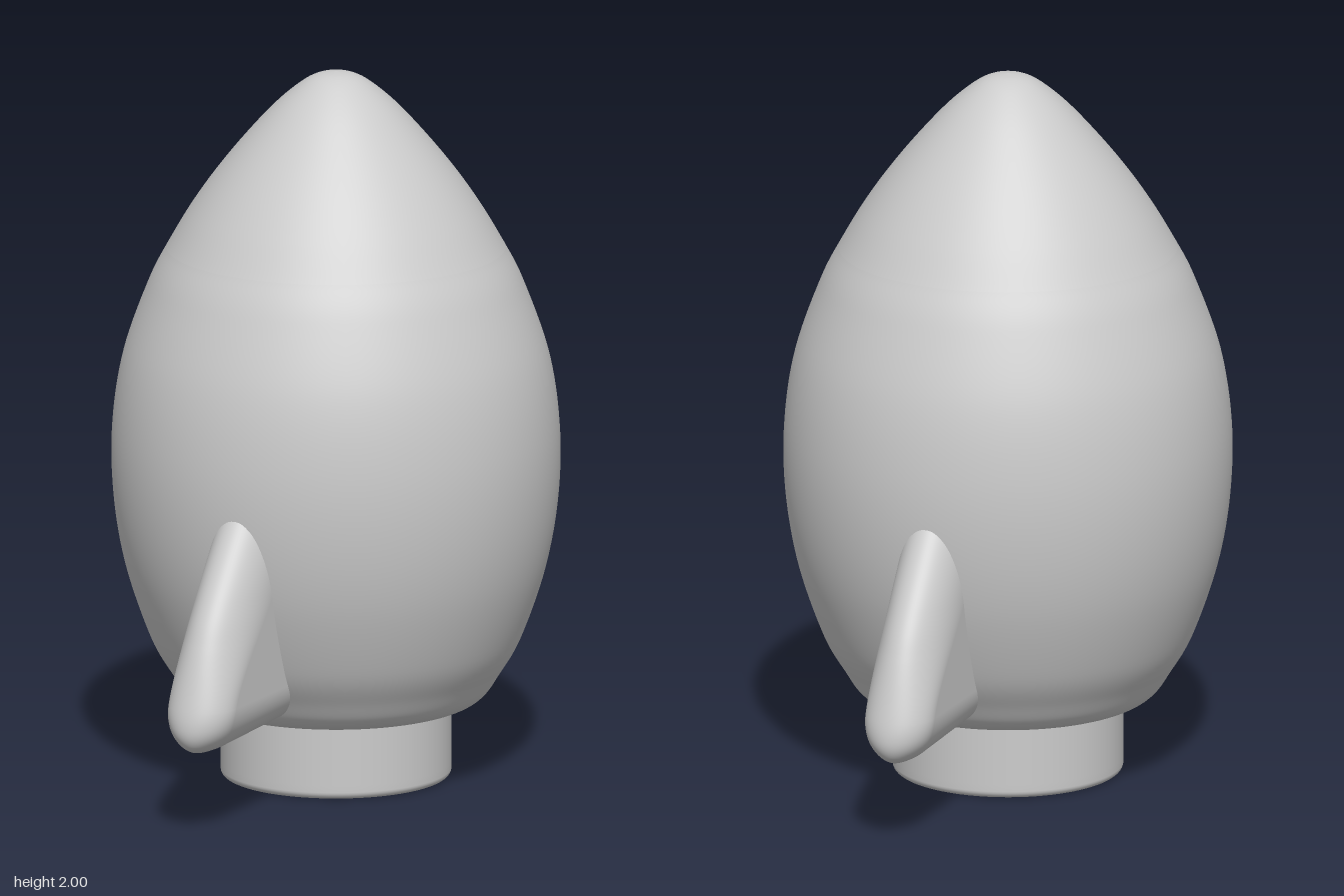
import * as THREE from 'three';
import { ParametricGeometry } from 'three/addons/geometries/ParametricGeometry.js';

const material = new THREE.MeshStandardMaterial({ color: 0xcccccc });
const spline = (points) => new THREE.SplineCurve(points.map(([x, y]) => new THREE.Vector2(x, y)));

function addMesh(parent, name, geometry) {
  const mesh = new THREE.Mesh(geometry, material);
  mesh.name = name;
  parent.add(mesh);
  return mesh;
}

// Smooth lathe through a few [radius, height] points, listed bottom to top
function turned(points, steps) {
  const profile = spline(points).getPoints(steps);
  profile.forEach((p) => { p.x = Math.max(p.x, 0); });
  return new THREE.LatheGeometry(profile, 96);
}

// Cushioned fin pointing along +z: level sections with an elliptical outer end,
// stacked up the [z, y] outline of its outer edge
function finGeometry() {
  const outline = spline([
    [0.8, 0.23], [0.86, 0.238], [0.895, 0.263], [0.907, 0.31], [0.89, 0.385],
    [0.835, 0.53], [0.77, 0.645], [0.625, 0.84], [0.53, 0.95],
  ]);
  const innerZ = 0.25;
  const sideShare = 0.15;
  return new ParametricGeometry((u, v, target) => {
    const edge = outline.getPoint(v);
    const rise = THREE.MathUtils.clamp((edge.y - 0.23) / 0.13, 0, 1);
    const halfWidth = 0.002 + 0.098 * Math.sqrt(1 - (1 - rise) ** 2);
    const endLength = 0.1 + 0.1 * THREE.MathUtils.smoothstep(edge.y, 0.35, 0.65);
    // The straight sides run into the hull; the ellipse joins them round the edge
    const side = Math.min(u, 1 - u) / sideShare;
    const angle = THREE.MathUtils.clamp((u - 0.5) / (0.5 - sideShare), -1, 1) * Math.PI / 2;
    const shoulder = edge.x - endLength;
    const z = side < 1
      ? THREE.MathUtils.lerp(innerZ, shoulder, side)
      : shoulder + endLength * Math.cos(angle);
    // The underside rises slightly towards the hull
    const lift = 0.035 * (0.85 - z) * (1 - rise);
    target.set(halfWidth * Math.sin(angle), edge.y + lift, z);
  }, 60, 64);
}

export function createModel() {
  const rocket = new THREE.Group();
  rocket.name = 'rocket';

  // Egg-shaped hull with a softly rounded lower rim
  addMesh(rocket, 'hull', turned([
    [0, 0.203], [0.15, 0.203], [0.3, 0.203], [0.37, 0.212], [0.417, 0.24], [0.455, 0.295],
    [0.515, 0.4], [0.583, 0.6], [0.617, 0.8], [0.62, 1], [0.59, 1.2], [0.52, 1.4], [0.47, 1.5],
  ], 96));

  // Full, rounded nose with a blunt tip
  addMesh(rocket, 'noseCone', turned([
    [0.47, 1.5], [0.412, 1.6], [0.344, 1.7], [0.265, 1.8], [0.175, 1.9],
    [0.1, 1.965], [0.05, 1.992], [0, 2],
  ], 56));

  // Engine nozzle: short cylinder with a small rounded bottom edge
  const nozzle = [new THREE.Vector2(0, 0), new THREE.Vector2(0.295, 0)];
  for (let i = 0; i <= 6; i++) {
    const a = (i / 6) * Math.PI / 2;
    nozzle.push(new THREE.Vector2(0.3 + 0.02 * Math.sin(a), 0.02 - 0.02 * Math.cos(a)));
  }
  nozzle.push(new THREE.Vector2(0.32, 0.04), new THREE.Vector2(0.32, 0.25));
  addMesh(rocket, 'nozzle', new THREE.LatheGeometry(nozzle, 96));

  // Two opposite fins, front and back
  const fin = finGeometry();
  addMesh(rocket, 'frontFin', fin);
  addMesh(rocket, 'backFin', fin).rotation.y = Math.PI;

  return rocket;
}
